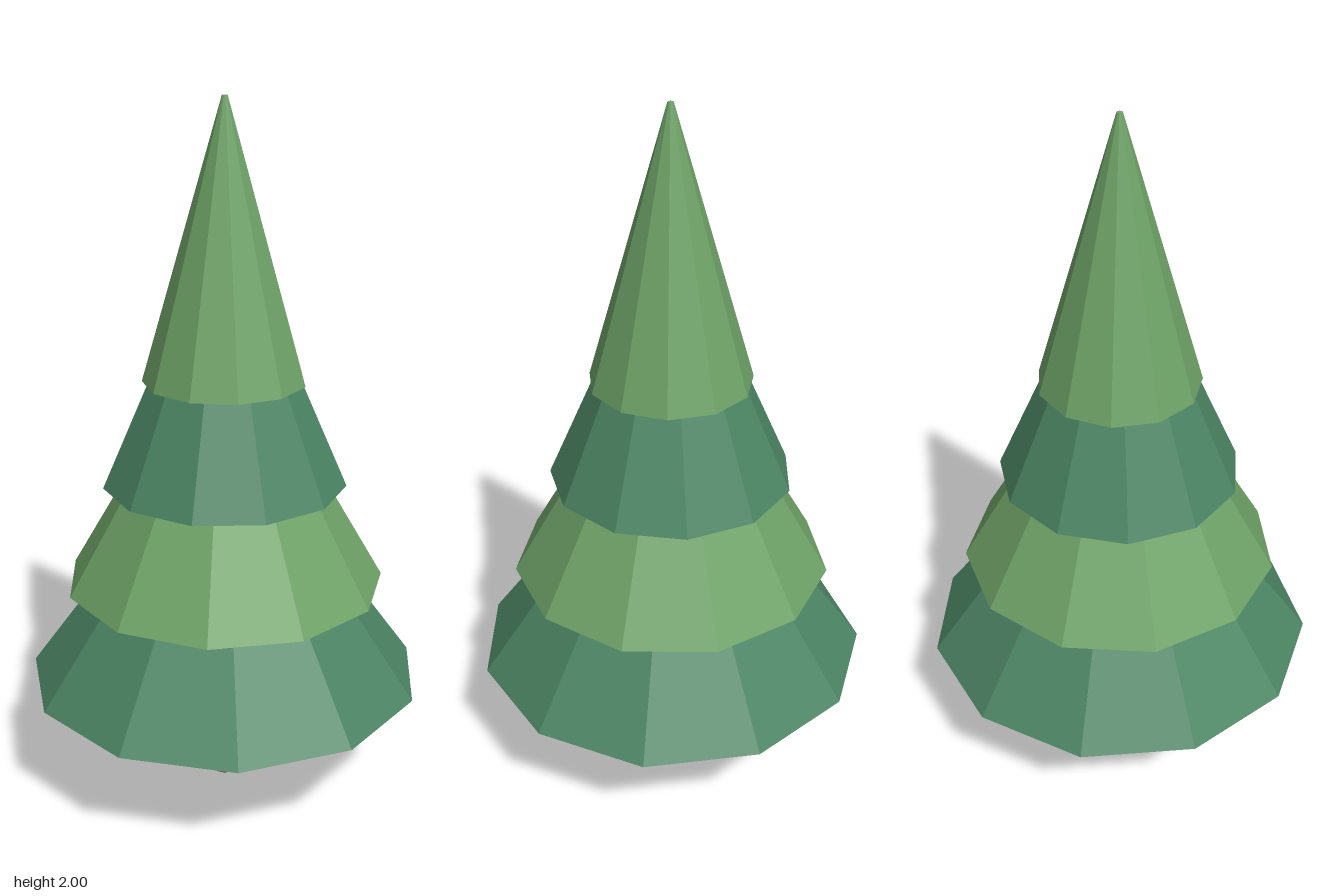
import * as THREE from 'three';

const AXIS_Z = 0.01;

// Faceted tapered cylinder standing on y = base, turned by angle (degrees)
function taper(name, color, { top, bottom, base, height, sides, angle }) {
  const geometry = new THREE.CylinderGeometry(top, bottom, height, sides);
  geometry.translate(0, height / 2, 0);
  const mesh = new THREE.Mesh(
    geometry,
    new THREE.MeshStandardMaterial({ color, flatShading: true })
  );
  mesh.name = name;
  mesh.position.set(0, base, AXIS_Z);
  mesh.rotation.y = THREE.MathUtils.degToRad(angle);
  return mesh;
}

export function createModel() {
  const tree = new THREE.Group();
  tree.name = 'pineTree';

  // Trunk, slightly narrower at the top
  tree.add(taper('trunk', 0x7a563d, {
    top: 0.072, bottom: 0.08, base: 0, height: 0.34, sides: 7, angle: 0
  }));

  // Four overlapping foliage cones, alternating greens, each turned a little
  const dark = 0x4c8564, light = 0x6fa368;
  const tiers = [
    ['bottomFoliage', dark, 0.58, 0.325, 0.79, 180],
    ['lowerFoliage', light, 0.465, 0.625, 0.79, 7.1],
    ['upperFoliage', dark, 0.35, 0.925, 0.78, -1.6],
    ['topFoliage', light, 0.232, 1.225, 0.775, -11]
  ];
  for (const [name, color, bottom, base, height, angle] of tiers) {
    tree.add(taper(name, color, { top: 0.008, bottom, base, height, sides: 11, angle }));
  }

  return tree;
}
